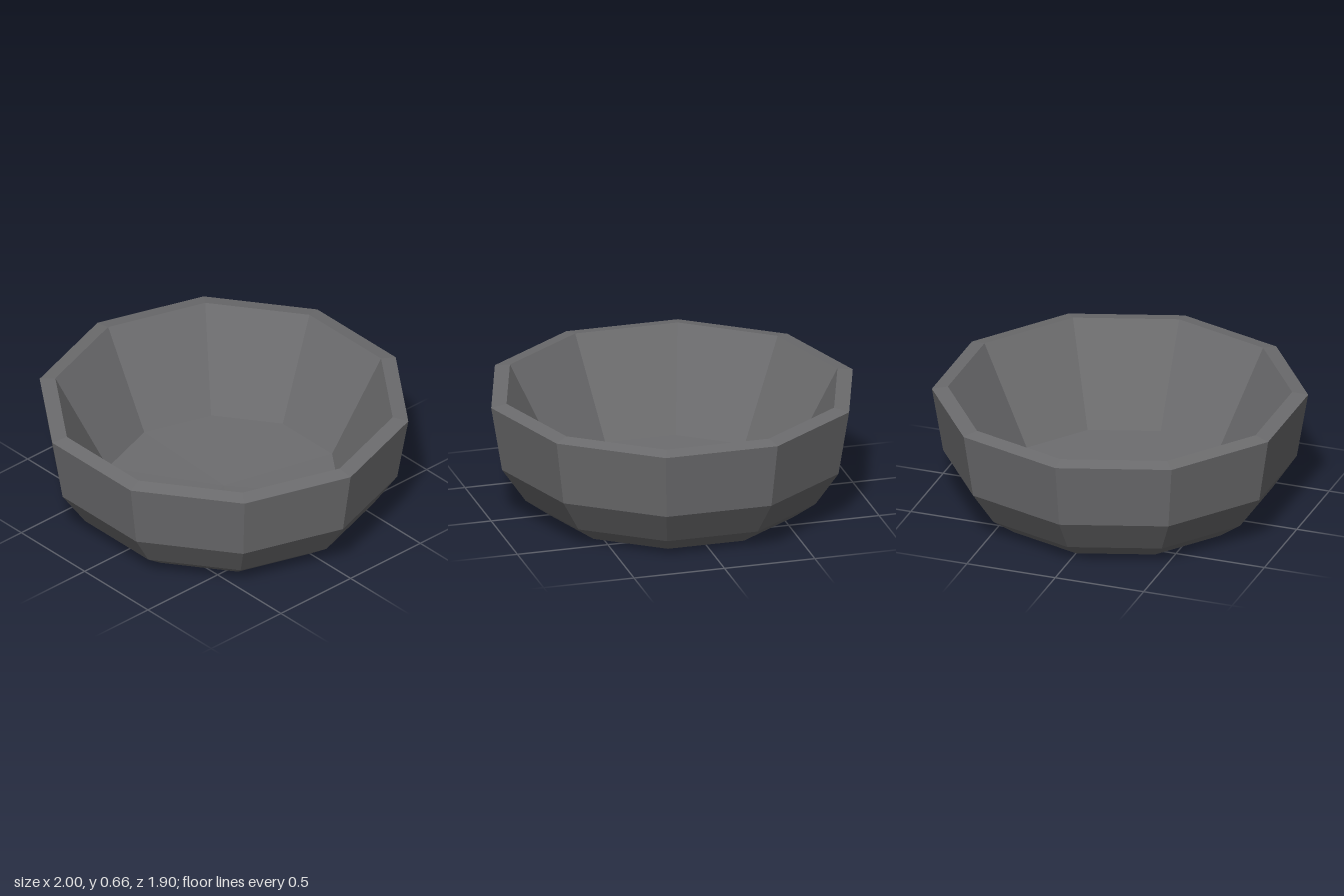
import * as THREE from 'three';

const SIDES = 10;

// Ten-sided turned surface with a corner on each side of the x axis
function turned(name, profile, material) {
  const points = profile.map(([r, y]) => new THREE.Vector2(r, y));
  const mesh = new THREE.Mesh(new THREE.LatheGeometry(points, SIDES, Math.PI / 2), material);
  mesh.name = name;
  return mesh;
}

export function createModel() {
  const bowl = new THREE.Group();
  bowl.name = 'bowl';
  const darkGrey = new THREE.MeshStandardMaterial({ color: 0x6c6c6e, flatShading: true });
  darkGrey.name = 'dark grey';

  // Flat base, two bevels and a steep upper wall
  bowl.add(turned('outerWall', [[0, 0], [0.68, 0], [0.81, 0.095], [0.94, 0.285], [1, 0.645]], darkGrey));
  // Rim rising slightly inward
  bowl.add(turned('rim', [[1, 0.645], [0.915, 0.66]], darkGrey));
  // Sloping inside wall
  bowl.add(turned('innerWall', [[0.915, 0.66], [0.63, 0.13]], darkGrey));
  // Shallow dished floor
  bowl.add(turned('innerFloor', [[0.63, 0.13], [0, 0.1]], darkGrey));
  return bowl;
}
